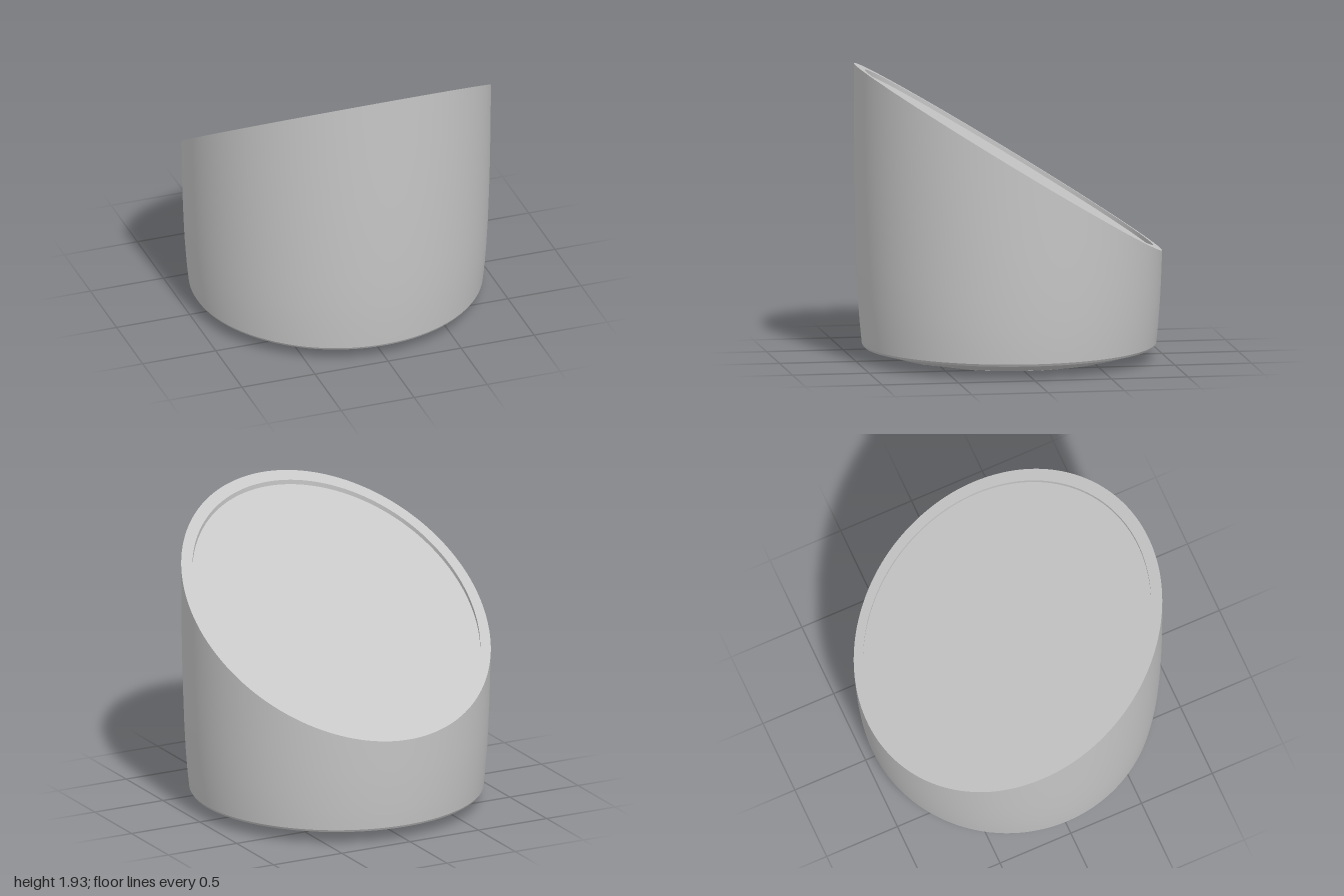
import * as THREE from 'three';

const SEG = 240;
const shell = new THREE.MeshStandardMaterial({ color: 0xc6c6c6 });
shell.name = 'light grey';

// Skin through loops around the y axis; each loop maps an angle to [radius, height].
function skin(loops) {
  const pos = [], idx = [];
  loops.forEach((loop) => {
    for (let i = 0; i < SEG; i++) {
      const a = (i / SEG) * Math.PI * 2;
      const [r, y] = loop(a, i);
      pos.push(r * Math.sin(a), y, r * Math.cos(a));
    }
  });
  for (let k = 0; k < loops.length - 1; k++) {
    for (let i = 0; i < SEG; i++) {
      const j = (i + 1) % SEG, a = k * SEG, b = a + SEG;
      idx.push(a + i, a + j, b + i, a + j, b + j, b + i);
    }
  }
  const g = new THREE.BufferGeometry();
  g.setAttribute('position', new THREE.Float32BufferAttribute(pos, 3));
  g.setIndex(idx);
  g.computeVertexNormals();
  return g;
}

const ring = (r, y) => () => [r, y];

// Side wall: widens softly upwards
const wallCurve = [[0.085, 0.94], [0.1, 0.949], [0.2, 0.96], [0.4, 0.975],
  [0.65, 0.986], [1.0, 0.995], [1.35, 1.0], [2.0, 1.0]];
function wallRadius(y) {
  for (let k = 1; k < wallCurve.length; k++) {
    const [y0, r0] = wallCurve[k - 1], [y1, r1] = wallCurve[k];
    if (y <= y1) return r0 + ((r1 - r0) * (y - y0)) / (y1 - y0);
  }
  return 1;
}

// Slanted cut, high at the front
const slope = (r, a) => 1.305 + 0.623 * r * Math.cos(a);
const topLoop = (a) => {
  const r = wallRadius(slope(0.995, a));
  return [r, slope(r, a)];
};
const cutLoop = (r, drop) => (a) => [r, slope(r, a) - drop];
const wallLoop = (t) => (a) => {
  const y = 0.1 + (topLoop(a)[1] - 0.1) * t;
  return [wallRadius(y), y];
};

// Domed underside, with a groove that widens into four pockets on the diagonals
const dome = (r) => 0.08 * (Math.max(0, r - 0.5) / 0.4) ** 2;
const bulge = (i) => {
  const d = Math.abs((i % (SEG / 4)) - SEG / 8);
  return Math.min(1, Math.max(0, (10 - d) / 4));
};
const edge = (r, grow) => (a, i) => {
  const rr = r + grow * bulge(i);
  return [rr, dome(rr)];
};
const deep = (r, grow) => (a, i) => [r + grow * bulge(i), 0.065 + 0.02 * bulge(i)];
const domeLoop = (r) => ring(r, dome(r));

export function createModel() {
  const model = new THREE.Group();
  const add = (name, ...loops) => {
    const mesh = new THREE.Mesh(skin(loops), shell);
    mesh.name = name;
    model.add(mesh);
  };

  // Round recess in the middle of the underside
  add('recessFloor', ring(0, 0.09), ring(0.465, 0.09));
  add('recessWall', ring(0.465, 0.09), ring(0.475, 0.015));
  add('recessChamfer', ring(0.475, 0.015), ring(0.5, 0));

  // Underside and its groove
  add('innerBase', domeLoop(0.5), domeLoop(0.53), edge(0.655, -0.065));
  add('grooveInnerWall', edge(0.655, -0.065), deep(0.665, -0.04));
  add('grooveFloor', deep(0.665, -0.04), deep(0.695, 0.055));
  add('grooveOuterWall', deep(0.695, 0.055), edge(0.705, 0.085));
  add('outerBase', edge(0.705, 0.085), domeLoop(0.8), domeLoop(0.85), domeLoop(0.905));

  // Bottom ledge and body wall
  add('bottomLedge', ring(0.905, 0.085), ring(0.94, 0.085));
  add('bottomBevel', ring(0.94, 0.085), ring(0.949, 0.1));
  add('bodyWall', ...[0, 0.08, 0.18, 0.3, 0.45, 0.6, 0.8].map(wallLoop), topLoop);

  // Slanted rim with a shallow inset panel
  add('slantedRim', topLoop, cutLoop(0.928, 0));
  add('panelStep', cutLoop(0.928, 0), cutLoop(0.928, 0.03));
  add('slantedPanel', cutLoop(0.928, 0.03), cutLoop(0, 0.03));

  return model;
}
